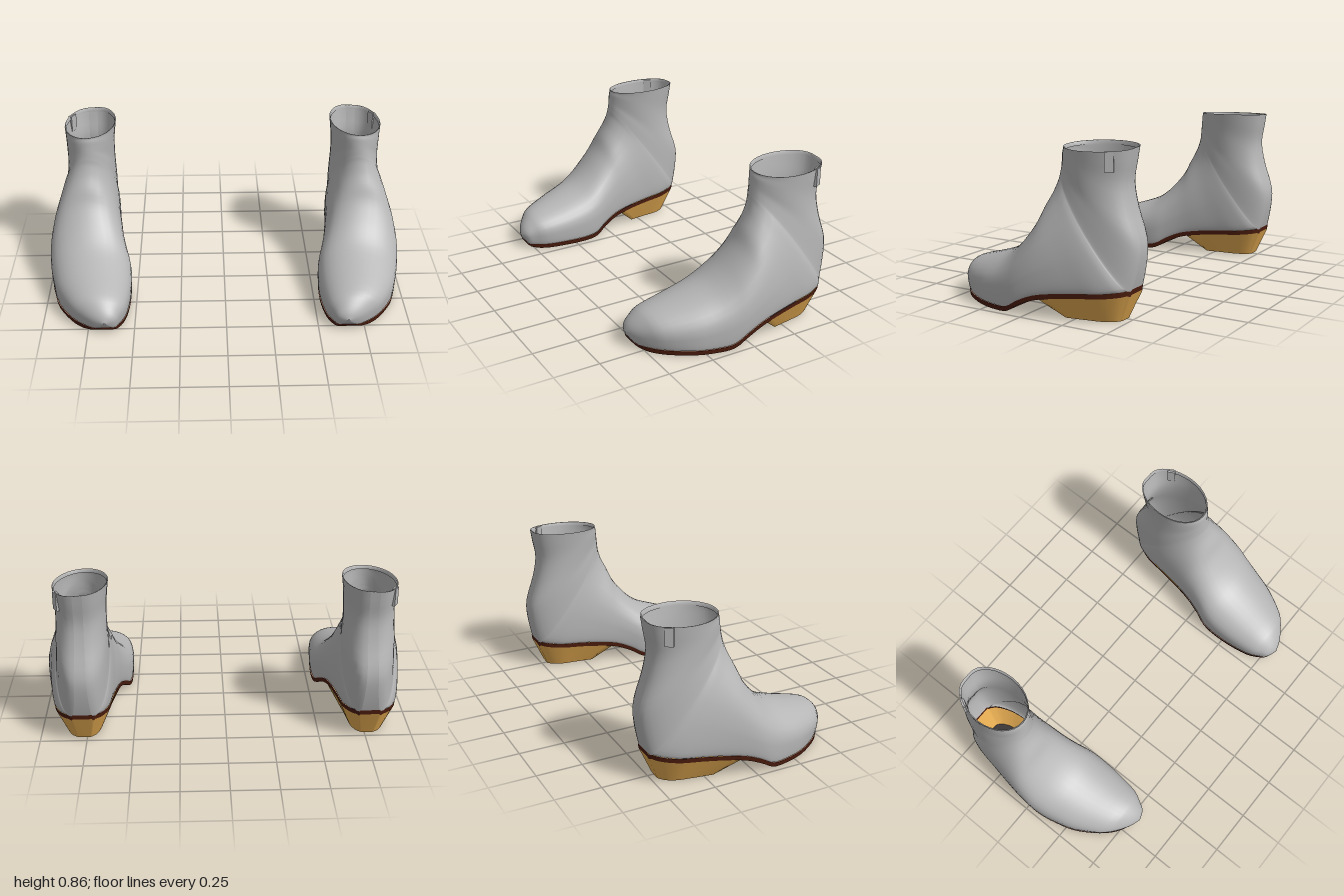
import * as THREE from 'three';
import { mergeVertices } from 'three/addons/utils/BufferGeometryUtils.js';

const mat = (name, color) => {
  const m = new THREE.MeshStandardMaterial({ color, side: THREE.DoubleSide });
  m.name = name;
  return m;
};

// Slices of the upper, fanning from toe to shaft:
// [zBottom, yBottom, zTop, yTop, xInner, xOuter, base width ratio, widest height ratio]
const FOOT = [
  [0.56, 0.08, 0.56, 0.085, 0.65, 0.66, 0.6, 0.5],
  [0.53, 0.036, 0.545, 0.125, 0.60, 0.72, 0.8, 0.5],
  [0.49, 0.032, 0.505, 0.17, 0.575, 0.785, 0.9, 0.45],
  [0.42, 0.03, 0.45, 0.205, 0.545, 0.855, 0.93, 0.42],
  [0.30, 0.03, 0.30, 0.25, 0.528, 0.93, 0.95, 0.4],
  [0.18, 0.03, 0.17, 0.298, 0.525, 0.968, 0.95, 0.4],
  [0.10, 0.04, 0.09, 0.355, 0.535, 0.985, 0.95, 0.38],
  [0.03, 0.08, 0.03, 0.42, 0.555, 0.992, 0.94, 0.33],
  [-0.06, 0.118, -0.02, 0.49, 0.575, 0.988, 0.93, 0.33],
  [-0.17, 0.138, -0.05, 0.56, 0.588, 0.975, 0.9, 0.35],
  [-0.29, 0.152, -0.08, 0.62, 0.60, 0.957, 0.88, 0.37],
  [-0.40, 0.16, -0.095, 0.66, 0.606, 0.942, 0.83, 0.4],
  [-0.48, 0.168, -0.105, 0.695, 0.612, 0.927, 0.66, 0.44],
  [-0.515, 0.173, -0.108, 0.72, 0.617, 0.914, 0.47, 0.47],
  [-0.53, 0.178, -0.11, 0.735, 0.62, 0.907, 0.34, 0.49],
];
const SHAFT = [
  [-0.557, 0.30, -0.112, 0.755, 0.622, 0.90, 0.25, 0.5],
  [-0.56, 0.41, -0.114, 0.775, 0.625, 0.895, 0.22, 0.5],
  [-0.515, 0.55, -0.117, 0.80, 0.625, 0.893, 0.2, 0.5],
  [-0.49, 0.68, -0.12, 0.825, 0.622, 0.893, 0.18, 0.5],
  [-0.505, 0.79, -0.125, 0.84, 0.615, 0.897, 0.18, 0.5],
  [-0.515, 0.858, -0.125, 0.848, 0.61, 0.90, 0.18, 0.5],
];
const SLICES = [...FOOT, ...SHAFT];
const STEPS = 3;
const HEEL_END = (FOOT.length - 1) * STEPS;

// Catmull-Rom blend of the slice table
function sliceAt(i, t) {
  const row = (k) => SLICES[Math.min(Math.max(k, 0), SLICES.length - 1)];
  const [a, b, c, d] = [row(i - 1), row(i), row(i + 1), row(i + 2)];
  return b.map((_, k) => 0.5 * (2 * b[k] + (c[k] - a[k]) * t +
    (2 * a[k] - 5 * b[k] + 4 * c[k] - d[k]) * t * t +
    (3 * b[k] - a[k] - 3 * c[k] + d[k]) * t * t * t));
}

// One slice as an arch: inner base edge, over the top, outer base edge
function arch([zb, yb, zt, yt, xi, xo, w, m]) {
  const xc = (xi + xo) / 2, h = (xo - xi) / 2, half = [];
  for (let k = 0; k <= 16; k++) {
    const low = k <= 8, a = (low ? k : k - 8) / 8 * Math.PI / 2;
    const s = low ? m * (1 - Math.cos(a)) : m + (1 - m) * Math.sin(a);
    const f = low ? w + (1 - w) * Math.sin(a) : Math.cos(a);
    half.push([s, f * h]);
  }
  const place = (s, dx) => {
    const y = yb + (yt - yb) * s, x = xc + dx;
    const lean = THREE.MathUtils.smoothstep(y, 0.55, 0.86) * 0.065;
    return [x, y + (0.755 - x) * lean, zb + (zt - zb) * s];
  };
  return [...half.map(([s, d]) => place(s, -d)),
    ...half.slice(0, 16).reverse().map(([s, d]) => place(s, d))];
}

// Skin over rows of points; side -1 mirrors it
function skin(rows, side) {
  const n = rows[0].length, index = [];
  for (let i = 0; i < rows.length - 1; i++) {
    for (let j = 0; j < n - 1; j++) {
      const a = i * n + j, b = a + 1, c = a + n, d = c + 1;
      index.push(...(side > 0 ? [a, b, c, b, d, c] : [a, c, b, b, c, d]));
    }
  }
  const g = new THREE.BufferGeometry();
  const pos = rows.flat().flatMap(([x, y, z]) => [x * side, y, z]);
  g.setAttribute('position', new THREE.Float32BufferAttribute(pos, 3));
  g.setIndex(index);
  const merged = mergeVertices(g, 1e-4);
  merged.computeVertexNormals();
  return merged;
}

function createBoot(side, mats) {
  const boot = new THREE.Group();
  boot.name = side > 0 ? 'leftBoot' : 'rightBoot';
  const add = (name, geometry, material) => {
    const mesh = new THREE.Mesh(geometry, material);
    mesh.name = name;
    boot.add(mesh);
    return mesh;
  };

  // Upper, with strips closing it under the toe and down the back
  const slices = [];
  for (let i = 0; i < SLICES.length - 1; i++)
    for (let k = 0; k < STEPS; k++) slices.push(sliceAt(i, k / STEPS));
  const top = SLICES[SLICES.length - 1];
  slices.push(top);
  const arches = slices.map(arch);
  const closing = arches.map((a) => [a[a.length - 1], a[0]]);
  add('upper', skin(arches, side), mats.leather);
  add('toeUnderside', skin(closing.slice(0, 3 * STEPS), side), mats.leather);
  add('backStrip', skin(closing.slice(HEEL_END), side), mats.leather);

  // Folded rim
  const rim = [top,
    [-0.508, 0.856, -0.132, 0.846, 0.616, 0.894, 0.18, 0.5],
    [-0.507, 0.835, -0.133, 0.828, 0.618, 0.893, 0.18, 0.5]].map(arch);
  add('rim', skin(rim.map((r) => [...r, r[0]]), side), mats.leather);

  // Pull tab on the outer back of the shaft
  const tab = add('pullTab', new THREE.BoxGeometry(0.045, 0.095, 0.02), mats.leather);
  tab.position.set(0.869 * side, 0.798, -0.437);
  tab.rotation.y = Math.atan2(5.5 * side, -3.2);

  // Sole edge pairs, taken from the bottoms of the slices
  const pairs = slices.slice(STEPS, HEEL_END + 1).map(([zb, yb, , , xi, xo, w]) => {
    const xc = (xi + xo) / 2, h = (xo - xi) / 2 * w * 1.02 + 0.002;
    return [[xc - h, yb, zb * 1.005], [xc + h, yb, zb * 1.005]];
  });
  const loop = (list) => {
    const ring = [...list.map((p) => p[0]), ...list.map((p) => p[1]).reverse()];
    return [...ring, ring[0]];
  };
  const lift = ([x, y, z]) => [x, y + 0.002, z];
  const lower = ([x, y, z]) =>
    [0.76 + (x - 0.76) * 0.985, y - 0.024 + 0.3 * Math.max(0, z - 0.49), z * 0.995];
  const edge = loop(pairs);
  add('soleEdge', skin([edge.map(lift), edge.map(lower)], side), mats.soleEdge);
  const front = pairs.filter((p) => p[0][2] > -0.15);
  add('soleUnderside', skin(front.map(([a, b]) => [lower(b), lower(a)]), side), mats.sole);

  // Hollow tapered heel and its tread
  const heelTop = loop(pairs.filter((p) => p[0][2] < -0.09)).map(lower);
  const heelBase = heelTop.map(([x, , z]) =>
    [0.767 + (x - 0.767) * 0.62, 0.007, -0.205 + (z + 0.1) * 0.61]);
  add('heel', skin([heelTop, heelBase], side), mats.heel);
  add('heelTread', skin([heelBase, heelBase.map(() => [0.767, 0.007, -0.33])], side), mats.tread);
  return boot;
}

export function createModel() {
  const mats = {
    leather: mat('greyLeather', 0xb6b6b6),
    soleEdge: mat('darkRedBrown', 0x4b1c0d),
    sole: mat('brownSole', 0xa87860),
    heel: mat('tanWood', 0xf0b456),
    tread: mat('blackRubber', 0x342d2d),
  };
  const model = new THREE.Group();
  model.name = 'ankleBoots';
  for (const side of [1, -1]) model.add(createBoot(side, mats));
  return model;
}
